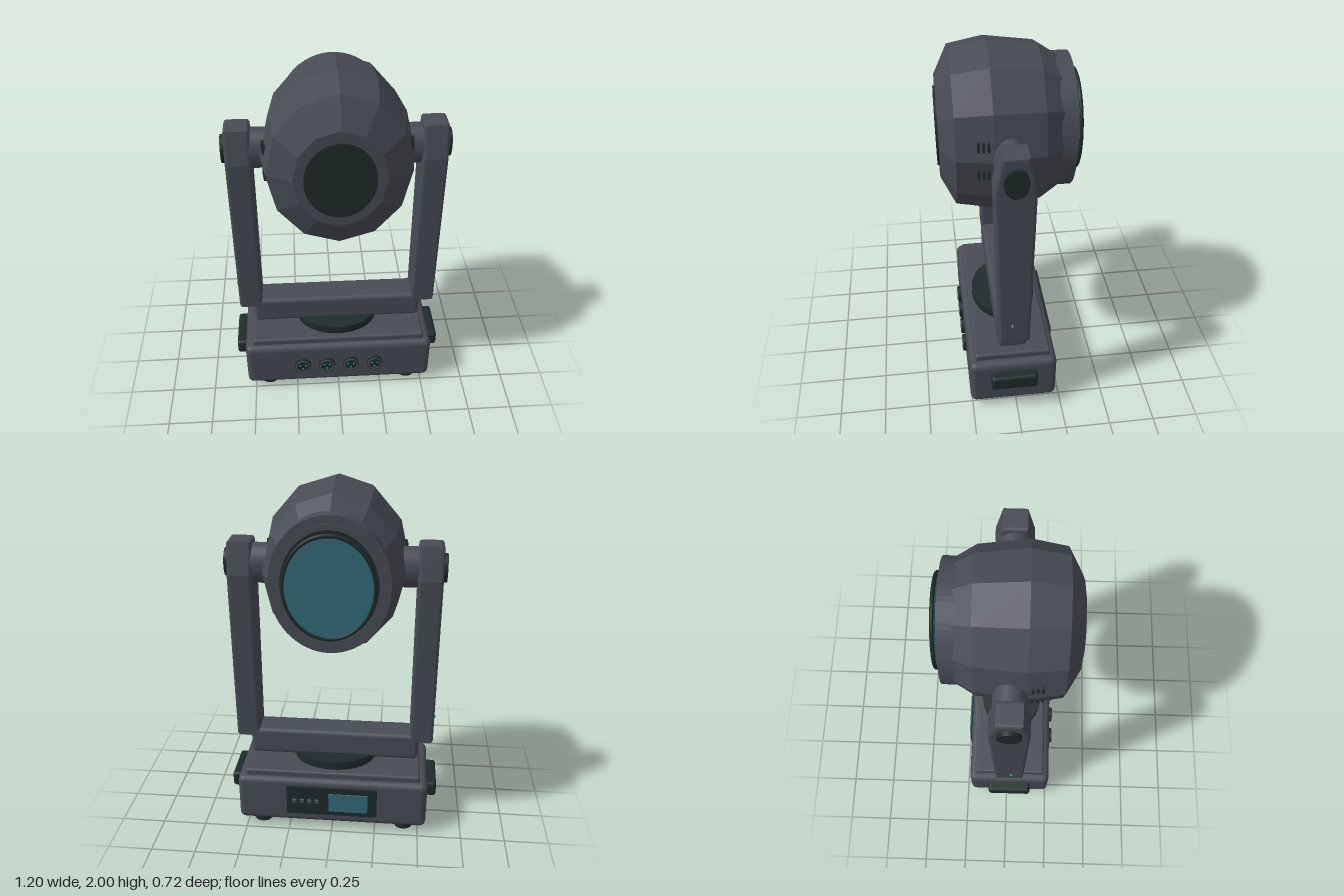
import * as THREE from 'three';
import { RoundedBoxGeometry } from 'three/addons/geometries/RoundedBoxGeometry.js';

const CZ = 0.017;   // depth of the pan and tilt axes
const CY = 1.545;   // height of the tilt axis
const SQ = 0.78;    // depth squash of the upright round parts
const HX = 0.857;   // width squash of the head

export function createModel() {
  const model = new THREE.Group();
  model.name = 'movingHeadLight';
  const mat = (name, color) => {
    const m = new THREE.MeshStandardMaterial({ color });
    m.name = name;
    return m;
  };
  const shell = mat('shellGrey', 0x484b55);
  const dark = mat('darkTrim', 0x1f2b2b);
  const glass = mat('tealGlass', 0x336b78);
  const led = mat('greenLed', 0x1f9a86);

  const add = (name, geo, material, x = 0, y = 0, z = 0, parent = model) => {
    const mesh = new THREE.Mesh(geo, material);
    mesh.name = name;
    mesh.position.set(x, y, z);
    parent.add(mesh);
    return mesh;
  };
  const rbox = (w, h, d, r) => new RoundedBoxGeometry(w, h, d, 3, r);
  const cylY = (r, h, r2 = r) => new THREE.CylinderGeometry(r, r2, h, 32).scale(1, 1, SQ);
  const cylX = (r, h) => new THREE.CylinderGeometry(r, r, h, 32).rotateZ(Math.PI / 2).scale(1, 1, SQ);
  const cylZ = (r, h, n = 48) => new THREE.CylinderGeometry(r, r, h, n).rotateX(Math.PI / 2);
  const latheZ = (pts, n) => new THREE.LatheGeometry(
    pts.map(([r, z]) => new THREE.Vector2(r, z)), n).rotateX(Math.PI / 2).scale(HX, 1, 1);

  // Base
  add('base', rbox(1.09, 0.29, 0.487, 0.035), shell, 0, 0.185, CZ);
  add('basePlate', rbox(1.0, 0.06, 0.42, 0.014), shell, 0, 0.336, CZ);
  for (const s of [-1, 1]) {
    add('sideHandle', rbox(0.09, 0.09, 0.257, 0.018), dark, s * 0.555, 0.23, CZ);
    for (const z of [0.185, -0.152]) add('foot', cylY(0.05, 0.05), dark, s * 0.417, 0.025, z);
  }

  // Front sockets with three pins each
  for (const x of [-0.213, -0.071, 0.071, 0.213]) {
    const socket = new THREE.Group();
    socket.name = 'socket';
    socket.position.set(x, 0.186, 0.26);
    model.add(socket);
    add('socketBody', cylZ(0.046, 0.03, 24).scale(1, 1.12, 1), dark, 0, 0, 0.003, socket);
    add('socketRing', new THREE.TorusGeometry(0.038, 0.005, 8, 24).scale(1, 1.12, 1), shell, 0, 0, 0.017, socket);
    for (let i = 0; i < 3; i++) {
      const a = Math.PI / 6 + (i * Math.PI * 2) / 3;
      add('socketPin', cylZ(0.006, 0.006, 10), led, 0.019 * Math.cos(a), 0.019 * Math.sin(a), 0.019, socket);
    }
  }

  // Rear control panel
  add('controlPanel', new THREE.BoxGeometry(0.52, 0.185, 0.02), dark, 0, 0.197, -0.228);
  add('screen', new THREE.BoxGeometry(0.225, 0.118, 0.008), glass, -0.095, 0.195, -0.241);
  for (let i = 0; i < 4; i++) {
    add('panelButton', rbox(0.026, 0.026, 0.014, 0.004), shell, 0.085 + i * 0.043, 0.197, -0.24);
  }

  // Turntable and yoke
  add('turntableFoot', cylY(0.22, 0.04), dark, 0, 0.375, CZ);
  add('turntable', cylY(0.235, 0.05), dark, 0, 0.398, CZ);
  add('yokeCrossbar', rbox(0.97, 0.16, 0.165, 0.025), shell, 0, 0.48, CZ);

  const armShape = new THREE.Shape([
    [-0.082, 0.52], [0.082, 0.52], [0.102, 1.5], [0.064, 1.675], [-0.064, 1.675], [-0.102, 1.5],
  ].map(([z, y]) => new THREE.Vector2(z, y)));
  const bevel = 0.016;
  const armGeo = new THREE.ExtrudeGeometry(armShape, {
    depth: 0.132 - 2 * bevel, bevelSize: bevel, bevelThickness: bevel, bevelOffset: -bevel, bevelSegments: 3,
  }).translate(0, 0, bevel - 0.066).rotateY(-Math.PI / 2);

  for (const s of [-1, 1]) {
    add('yokeArm', armGeo, shell, s * 0.5, 0, CZ);
    add('tiltHub', cylX(0.11, 0.13), shell, s * 0.385, CY, CZ);
    add('tiltCap', cylX(0.077, 0.03), dark, s * 0.571, CY, CZ);
    add('armLed', new THREE.SphereGeometry(0.008, 10, 8), led, s * 0.57, 0.645, 0.03);
    // Small cooling slots on the head flanks
    for (const dy of [-0.075, 0.075]) {
      for (let i = 0; i < 3; i++) {
        add('ventSlot', new THREE.BoxGeometry(0.02, 0.05, 0.012), dark, s * (0.368 - i * 0.003), CY + dy, 0.122 + i * 0.024);
      }
    }
  }

  // Head: twelve flat-sided shell
  const headGeo = latheZ([
    [0, -0.3], [0.325, -0.3], [0.42, -0.16], [0.455, 0.095], [0.42, 0.277], [0.27, 0.35], [0, 0.35],
  ], 12).toNonIndexed();
  headGeo.computeVertexNormals();
  add('headShell', headGeo, shell, 0, CY, 0);
  add('frontCap', cylZ(0.207, 0.02).scale(HX, 1, 1), dark, 0, CY, 0.349);

  // Stepped lens collar, dark lip and lens with its bezel
  const ring = (ro, ri, depth) => {
    const shape = new THREE.Shape().absarc(0, 0, ro, 0, Math.PI * 2, false);
    shape.holes.push(new THREE.Path().absarc(0, 0, ri, 0, Math.PI * 2, true));
    return new THREE.ExtrudeGeometry(shape, { depth, bevelEnabled: false, curveSegments: 32 }).scale(HX, 1, 1);
  };
  add('lensCollar', ring(0.355, 0.29, 0.085), shell, 0, CY, -0.32);
  add('lensLip', ring(0.312, 0.285, 0.02), shell, 0, CY, -0.328);
  add('lensRecess', cylZ(0.3, 0.01).scale(HX, 1, 1), dark, 0, CY, -0.312);
  add('lensBezel', new THREE.TorusGeometry(0.264, 0.011, 10, 64).scale(HX, 1, 0.9), dark, 0, CY, -0.35);
  add('lens', cylZ(0.262, 0.008).scale(HX, 1, 1), glass, 0, CY, -0.351);

  return model;
}
